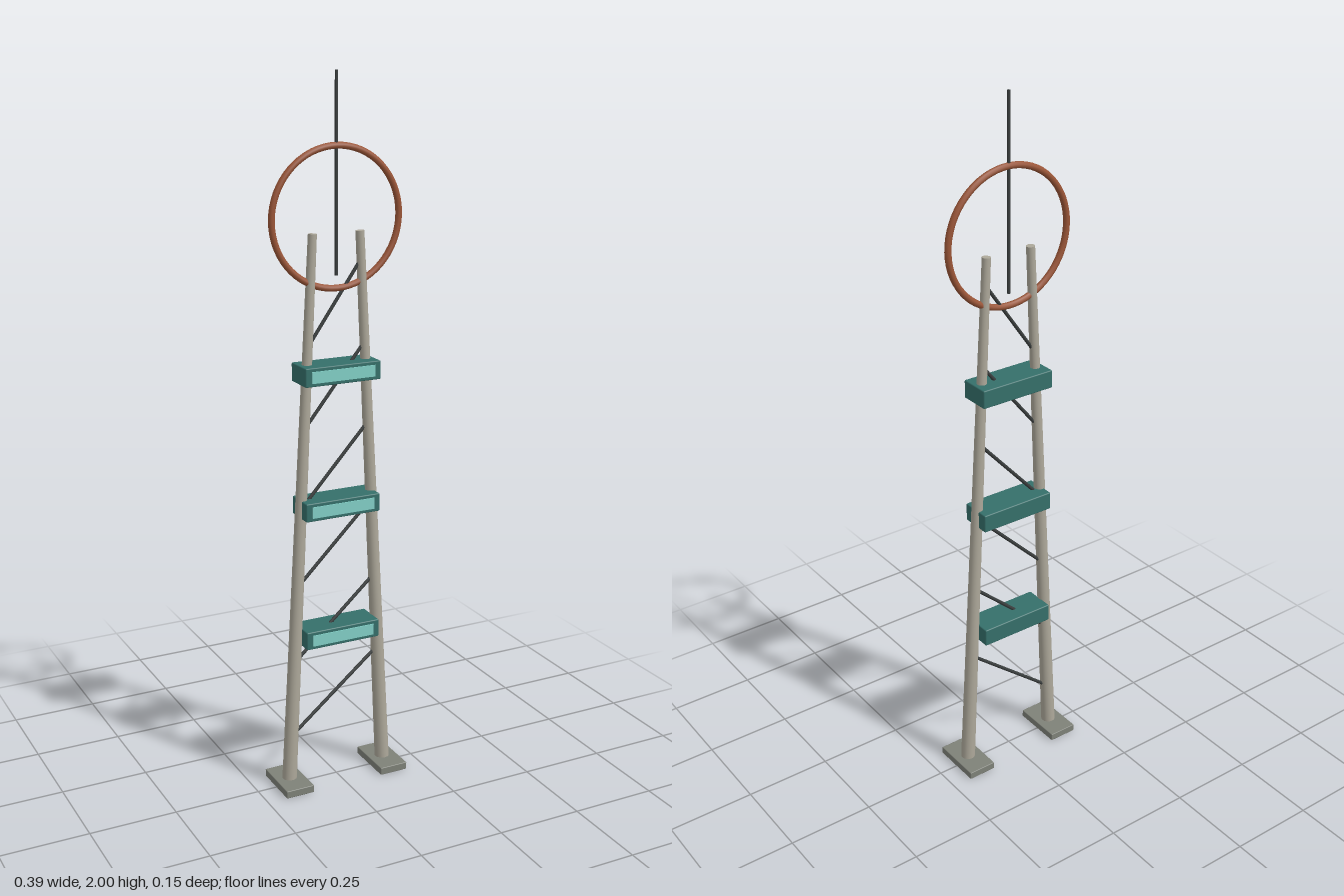
import * as THREE from 'three';
import { RoundedBoxGeometry } from 'three/addons/geometries/RoundedBoxGeometry.js';

const mat = (name, color) => {
  const m = new THREE.MeshStandardMaterial({ color });
  m.name = name;
  return m;
};

export function createModel() {
  const tower = new THREE.Group();
  tower.name = 'latticeTower';
  const legPaint = mat('warm grey', 0xada89a);
  const footPaint = mat('foot grey', 0x7e8178);
  const teal = mat('dark teal', 0x356f6a);
  const paleTeal = mat('pale teal', 0x82d0c7);
  const copper = mat('copper', 0x9a5537);
  const steel = mat('dark steel', 0x3a3e3e);

  const add = (name, geometry, material, x = 0, y = 0, z = 0) => {
    const mesh = new THREE.Mesh(geometry, material);
    mesh.name = name;
    mesh.position.set(x, y, z);
    tower.add(mesh);
    return mesh;
  };

  // Round bar between two points, optionally tapered
  const bar = (name, a, b, r0, r1, sides, material) => {
    const dir = b.clone().sub(a);
    const mesh = add(name, new THREE.CylinderGeometry(r1, r0, dir.length(), sides), material);
    mesh.position.copy(a).add(b).multiplyScalar(0.5);
    mesh.quaternion.setFromUnitVectors(new THREE.Vector3(0, 1, 0), dir.normalize());
  };

  // Point on a leg's axis at a given height
  const onLeg = (side, y) =>
    new THREE.Vector3(side * (0.151 - 0.081 * (y - 0.015) / 1.57), y, 0);

  // Leaning legs and foot plates
  for (const [side, label] of [[1, 'left'], [-1, 'right']]) {
    bar(label + 'Leg', onLeg(side, 0.015), onLeg(side, 1.585), 0.021, 0.012, 16, legPaint);
    add(label + 'Foot', new RoundedBoxGeometry(0.085, 0.022, 0.15, 1, 0.002), footPaint, side * 0.151, 0.011, 0);
  }

  // Parallel diagonal braces
  for (let i = 0; i < 6; i++) {
    const y = 0.15 + i * 0.2265;
    bar('brace' + (i + 1), onLeg(-1, y), onLeg(1, y + 0.2265), 0.005, 0.005, 8, steel);
  }

  // Cross boxes with a pale front plate
  [0.454, 0.832, 1.21].forEach((y, i) => {
    add('crossBox' + (i + 1), new RoundedBoxGeometry(0.226, 0.052, 0.09, 1, 0.003), teal, 0, y, 0);
    add('frontPlate' + (i + 1), new THREE.BoxGeometry(0.19, 0.032, 0.006), paleTeal, 0, y, 0.045);
  });

  // Ring and mast
  add('ring', new THREE.TorusGeometry(0.187, 0.009, 10, 64), copper, 0, 1.623, 0);
  add('mast', new THREE.CylinderGeometry(0.004, 0.005, 0.53, 10), steel, 0, 1.735, 0);

  return tower;
}
